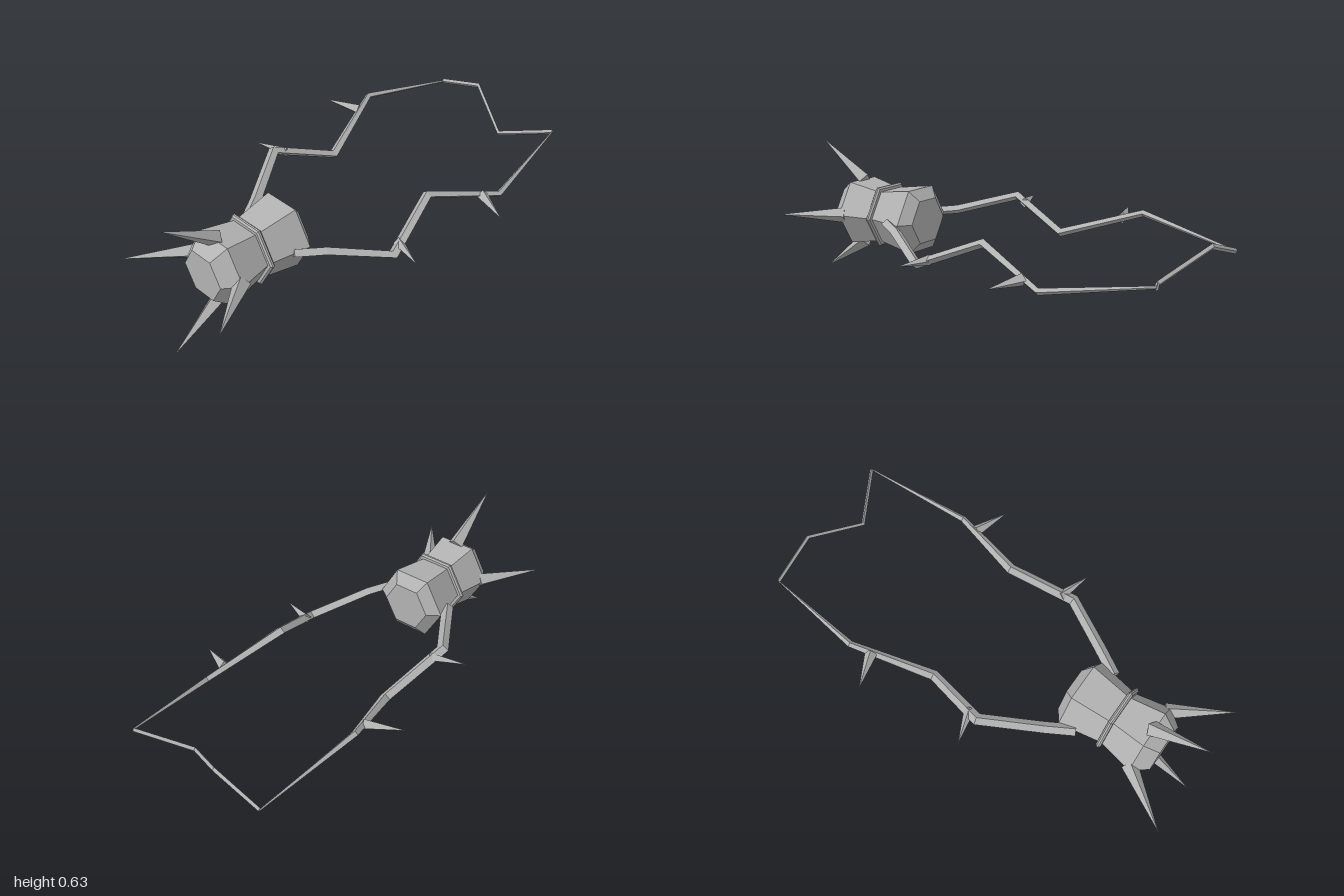
import * as THREE from 'three';

const grey = new THREE.MeshStandardMaterial({ color: 0xb2b2b2 });
const V = (p) => new THREE.Vector3(...p);
const UP = new THREE.Vector3(0, 1, 0);

function facetedMesh(name, geometry) {
  const g = geometry.index ? geometry.toNonIndexed() : geometry;
  g.computeVertexNormals();
  const mesh = new THREE.Mesh(g, grey);
  mesh.name = name;
  return mesh;
}

// Six-sided turned solid along z; profile is [radius, z] from back to front
function hexTurned(name, profile) {
  const g = new THREE.LatheGeometry(profile.map((p) => new THREE.Vector2(...p)), 6, Math.PI / 2);
  return facetedMesh(name, g.rotateX(Math.PI / 2));
}

// Four-sided spike from a base point to a tip, with one edge facing up
function spike(name, base, tip, radius) {
  const a = V(base), b = V(tip);
  const dir = b.clone().sub(a), length = dir.length();
  dir.normalize();
  const x = dir.clone().cross(UP).normalize();
  const z = x.clone().cross(dir);
  const g = new THREE.ConeGeometry(radius, length, 4).translate(0, length / 2, 0);
  g.applyMatrix4(new THREE.Matrix4().makeBasis(x, dir, z).setPosition(a));
  return facetedMesh(name, g);
}

// Tapered diamond-section rod; each station is [x, y, z, halfWidth, halfHeight]
function rod(name, stations) {
  const pts = stations.map((s) => V(s.slice(0, 3)));
  const pos = [], index = [], last = pts.length - 1;
  pts.forEach((p, i) => {
    const t = new THREE.Vector3();
    if (i > 0) t.add(p.clone().sub(pts[i - 1]).normalize());
    if (i < last) t.add(pts[i + 1].clone().sub(p).normalize());
    t.normalize();
    const side = t.clone().cross(UP).normalize();
    const up = side.clone().cross(t);
    const [, , , w, h] = stations[i];
    for (const [u, v] of [[w, 0], [0, h], [-w, 0], [0, -h]])
      pos.push(...p.clone().addScaledVector(side, u).addScaledVector(up, v).toArray());
    if (i < last) for (let j = 0; j < 4; j++) {
      const a = i * 4 + j, b = i * 4 + (j + 1) % 4;
      index.push(a, a + 4, b, b, a + 4, b + 4);
    }
  });
  const e = last * 4;
  index.push(0, 1, 2, 0, 2, 3, e, e + 2, e + 1, e, e + 3, e + 2);
  const g = new THREE.BufferGeometry();
  g.setAttribute('position', new THREE.Float32BufferAttribute(pos, 3));
  g.setIndex(index);
  return facetedMesh(name, g);
}

// One thorny side strand, later repeated by a half turn about z
function strand() {
  const group = new THREE.Group();
  group.name = 'strand';
  group.add(
    rod('strandRod', [
      [0.15, 0, 0.475, 0.026, 0.02],
      [0.22, -0.013, 0.36, 0.026, 0.02],
      [0.37, -0.083, 0.12, 0.027, 0.02],
      [0.29, 0.036, -0.17, 0.024, 0.019],
      [0.41, -0.078, -0.52, 0.015, 0.015],
      [0.34, 0.006, -0.99, 0.003, 0.006],
    ]),
    spike('frontThorn', [0.345, -0.06, 0.065], [0.5, -0.065, 0.115], 0.024),
    spike('rearThorn', [0.385, -0.05, -0.43], [0.545, -0.065, -0.37], 0.027),
  );
  return group;
}

export function createModel() {
  const model = new THREE.Group();
  model.name = 'spikedFlail';
  const core = new THREE.Group();
  core.name = 'core';
  core.position.y = 0.317;
  model.add(core);

  // Waisted hexagonal head and its collar
  core.add(hexTurned('head', [
    [0, 0.36], [0.112, 0.36], [0.167, 0.4], [0.133, 0.592],
    [0.167, 0.755], [0.112, 0.825], [0, 0.825],
  ]));
  core.add(hexTurned('waistCollar', [
    [0.12, 0.579], [0.15, 0.579], [0.158, 0.586], [0.158, 0.594], [0.15, 0.601], [0.12, 0.601],
  ]));

  // Four forward spikes around the head
  for (const [x, y] of [[0, 1], [1, 0], [0, -1], [-1, 0]])
    core.add(spike('headSpike', [x * 0.142, y * 0.142, 0.742], [x * 0.316, y * 0.316, 1], 0.036));

  // Strands on both sides
  const left = strand(), right = strand();
  left.name = 'leftStrand';
  right.name = 'rightStrand';
  right.rotation.z = Math.PI;
  core.add(left, right);

  // Bent bar joining the strand ends
  core.add(rod('rearBar', [
    [0.34, 0.004, -0.99, 0.008, 0.012],
    [0.115, -0.055, -0.875, 0.009, 0.013],
    [-0.115, 0.063, -0.99, 0.009, 0.013],
    [-0.34, -0.004, -0.99, 0.008, 0.012],
  ]));
  return model;
}
